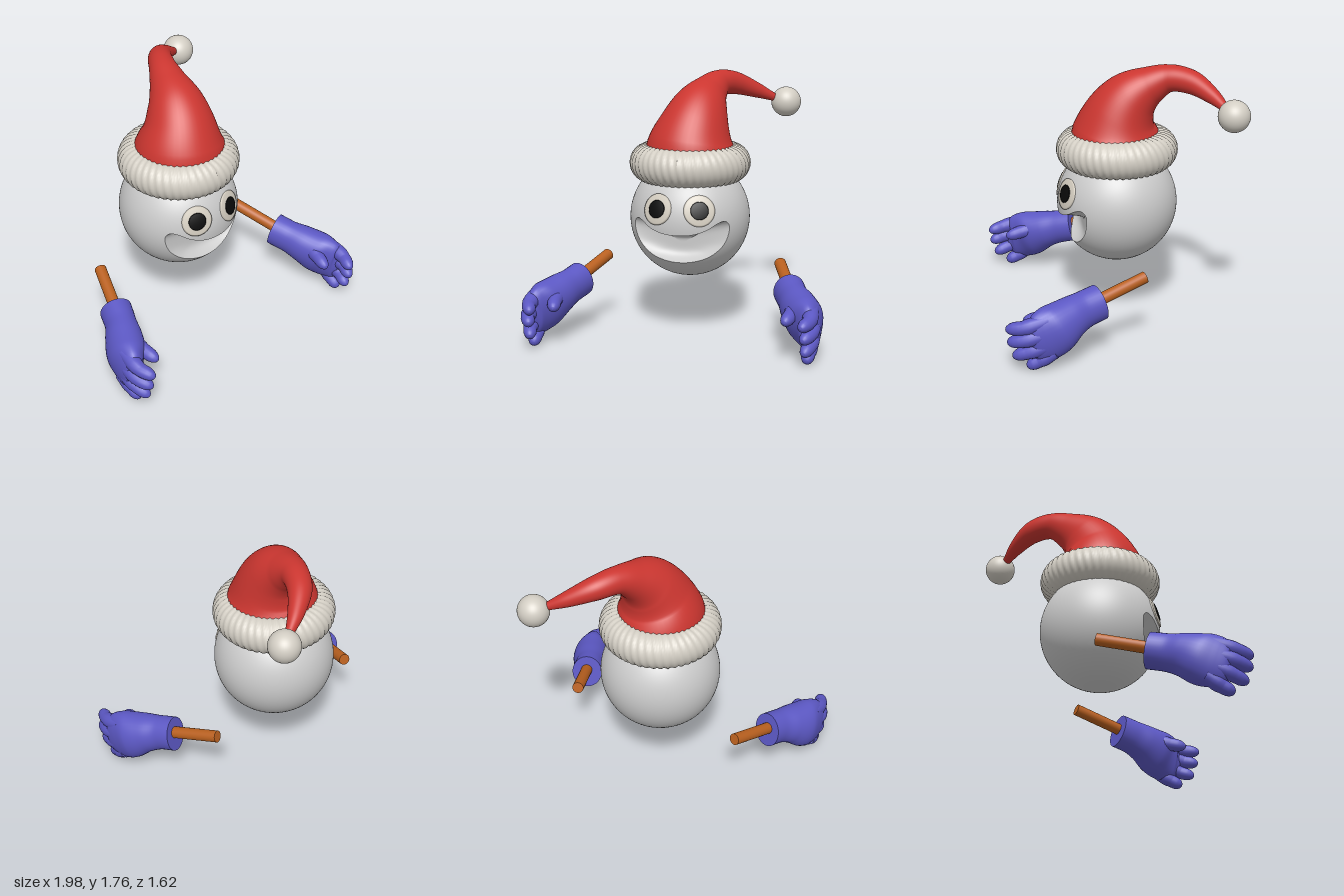
import * as THREE from 'three';
import { mergeVertices } from 'three/addons/utils/BufferGeometryUtils.js';

const V = (x, y, z) => new THREE.Vector3(x, y, z);
const mat = (color) => new THREE.MeshStandardMaterial({ color });
const GREY = mat(0xcccccc), RED = mat(0xcc3630), FUR = mat(0xd3cec4), EYE = mat(0xd6cfc2);
const BLACK = mat(0x0a0a0a), WOOD = mat(0xb9601f), GLOVE = mat(0x5c58c4);

const HEAD = V(0, 0.8, -0.03), R = 0.41;

function add(parent, name, geometry, material) {
  const mesh = new THREE.Mesh(geometry, material);
  mesh.name = name;
  parent.add(mesh);
  return mesh;
}

// Skin over closed rows of points, all with the same count
function skin(rows) {
  const m = rows[0].length, index = [];
  for (let i = 0; i < rows.length - 1; i++) {
    for (let j = 0; j < m; j++) {
      const k = (j + 1) % m, a = i * m;
      index.push(a + j, a + k, a + m + j, a + k, a + m + k, a + m + j);
    }
  }
  const g = new THREE.BufferGeometry().setFromPoints(rows.flat());
  g.setIndex(index);
  g.computeVertexNormals();
  return g;
}

// Loft of ellipses; each section is [x, y, z, half width along ref, other half width]
function loft(sections, n, m, ref) {
  const path = new THREE.CatmullRomCurve3(sections.map((s) => V(s[0], s[1], s[2])));
  const radii = new THREE.CatmullRomCurve3(sections.map((s) => V(s[3], s[4] ?? s[3], 0)));
  const rows = [];
  for (let i = 0; i <= n; i++) {
    const c = path.getPoint(i / n), r = radii.getPoint(i / n), t = path.getTangent(i / n);
    const side = ref.clone().addScaledVector(t, -ref.dot(t)).normalize();
    const up = t.clone().cross(side);
    rows.push(Array.from({ length: m }, (_, j) => {
      const a = (j / m) * Math.PI * 2;
      return c.clone().addScaledVector(side, r.x * Math.cos(a)).addScaledVector(up, r.y * Math.sin(a));
    }));
  }
  // Flat caps with a sharp rim
  const cap = (p) => Array.from({ length: m }, () => p.clone());
  const first = rows[0], last = rows[n];
  return skin([cap(path.getPoint(0)), first, ...rows, last, cap(path.getPoint(1))]);
}

// Ball head whose rings spread from the outline of a smiling mouth
function buildHead() {
  const head = new THREE.Group();
  head.name = 'head';
  const half = [[0.1, 0.55], [0.2, 0.585], [0.28, 0.655], [0.317, 0.735], [0.322, 0.8], [0.3, 0.83],
    [0.265, 0.823], [0.19, 0.778], [0.1, 0.75]];
  const outline = [[0, 0.54], ...half, [0, 0.743], ...half.map(([x, y]) => [-x, y]).reverse()];
  const lip = new THREE.CatmullRomCurve3(outline.map(([x, y]) => V(x, y, 0)), true)
    .getSpacedPoints(128).slice(0, -1);
  lip.forEach((p) => { p.z = HEAD.z + Math.sqrt(R * R - p.x ** 2 - (p.y - HEAD.y) ** 2); });

  const axis = V(0, -0.15, 0.38).normalize();
  const ball = [];
  for (let i = 0; i <= 48; i++) {
    ball.push(lip.map((p) => {
      const d = p.clone().sub(HEAD).normalize();
      const start = axis.angleTo(d), phi = THREE.MathUtils.lerp(Math.PI, start, i / 48);
      const w = d.addScaledVector(axis, -axis.dot(d)).normalize();
      return HEAD.clone().addScaledVector(axis, R * Math.cos(phi)).addScaledVector(w, R * Math.sin(phi));
    }));
  }
  const ballGeometry = mergeVertices(skin(ball).deleteAttribute('normal'), 1e-5);
  ballGeometry.computeVertexNormals();
  add(head, 'headBall', ballGeometry, GREY);

  // Hollow of the mouth
  const hollow = [];
  for (let i = 0; i <= 20; i++) {
    const s = 1 - Math.cos((i / 20) * Math.PI / 2), depth = 1 - (1 - s) ** 4;
    hollow.push(lip.map((p) => V(
      p.x * (1 - s),
      THREE.MathUtils.lerp(p.y, 0.66, s),
      THREE.MathUtils.lerp(p.z, 0.205, depth))));
  }
  add(head, 'mouthHollow', skin(hollow), GREY);

  // Eyes: thin curved discs that follow the ball
  const disc = (angle, radius) => {
    const profile = [new THREE.Vector2((R - 0.01) * Math.sin(angle), (R - 0.01) * Math.cos(angle))];
    for (let i = 10; i >= 0; i--) {
      const a = (angle * i) / 10;
      profile.push(new THREE.Vector2(radius * Math.sin(a), radius * Math.cos(a)));
    }
    return new THREE.LatheGeometry(profile, 40);
  };
  for (const s of [1, -1]) {
    const eye = new THREE.Group();
    eye.name = s > 0 ? 'leftEye' : 'rightEye';
    add(eye, 'eyeball', disc(0.255, R + 0.008), EYE);
    add(eye, 'pupil', disc(0.145, R + 0.012), BLACK);
    eye.position.copy(HEAD);
    eye.quaternion.setFromUnitVectors(V(0, 1, 0), V(s * 0.143, 0.11, 0.368).normalize());
    head.add(eye);
  }
  return head;
}

function buildHat() {
  const hat = new THREE.Group();
  hat.name = 'hat';
  // Drooping cone
  add(hat, 'hatCone', loft([
    [0.01, 1.18, -0.03, 0.34], [0.01, 1.3, -0.03, 0.3], [0.03, 1.43, -0.06, 0.24],
    [0.055, 1.54, -0.13, 0.19], [0.088, 1.625, -0.24, 0.13], [0.135, 1.68, -0.36, 0.092],
    [0.22, 1.67, -0.49, 0.08], [0.36, 1.61, -0.6, 0.053], [0.49, 1.55, -0.67, 0.025], [0.54, 1.53, -0.7, 0.02],
  ], 72, 48, V(0.78, 0, 0.63)), RED);

  // Fur band with slanted ridges
  const rows = [], around = 240, tube = 32;
  for (let i = 0; i <= around; i++) {
    const u = (i / around) * Math.PI * 2;
    rows.push(Array.from({ length: tube }, (_, j) => {
      const v = (j / tube) * Math.PI * 2;
      const r = 0.123 + 0.004 * Math.sin(48 * u + 3 * v);
      const d = 0.287 + r * Math.cos(v);
      return V(d * Math.sin(u), 1.173 + r * 1.02 * Math.sin(v), HEAD.z + d * Math.cos(u));
    }));
  }
  add(hat, 'furBand', skin(rows.reverse()), FUR);
  add(hat, 'pompom', new THREE.SphereGeometry(0.106, 40, 28), FUR).position.set(0.556, 1.522, -0.704);
  return hat;
}

// Stick arm with a gloved hand; s = 1 is the left one
function buildArm(s) {
  const arm = new THREE.Group();
  arm.name = s > 0 ? 'leftArm' : 'rightArm';
  const X = V(1, 0, 0);
  const part = (name, sections, n, m, material) =>
    add(arm, name, loft(sections.map(([x, ...rest]) => [s * x, ...rest]), n, m, X), material);

  part('stick', [[0.615, 0.472, -0.125, 0.04], [0.735, 0.375, 0.21, 0.04]], 1, 20, WOOD);
  part('palm', [
    [0.725, 0.365, 0.19, 0.108, 0.12], [0.765, 0.34, 0.29, 0.105, 0.122], [0.815, 0.308, 0.39, 0.122, 0.14],
    [0.87, 0.262, 0.49, 0.125, 0.172], [0.905, 0.232, 0.57, 0.09, 0.172], [0.92, 0.215, 0.63, 0.065, 0.145],
    [0.92, 0.21, 0.67, 0.02, 0.06],
  ], 36, 32, GLOVE);

  // Finger: base, knuckle, tip, radius
  const finger = (name, a, b, c, r) => {
    const [p, q, t] = [a, b, c].map((k) => V(...k));
    const at = (f, k) => [...q.clone().lerp(t, f).toArray(), r * k];
    part(name, [[...p.toArray(), r], [...q.toArray(), r], at(0.5, 0.94), at(0.78, 0.72), at(0.95, 0.38), at(1, 0.05)],
      24, 16, GLOVE);
  };
  finger('indexFinger', [0.925, 0.345, 0.54], [0.925, 0.305, 0.7], [0.885, 0.285, 0.81], 0.046);
  finger('middleFinger', [0.94, 0.265, 0.54], [0.935, 0.225, 0.7], [0.895, 0.2, 0.8], 0.046);
  finger('ringFinger', [0.94, 0.19, 0.53], [0.93, 0.14, 0.67], [0.9, 0.105, 0.77], 0.045);
  finger('littleFinger', [0.925, 0.13, 0.5], [0.915, 0.07, 0.6], [0.91, 0.03, 0.68], 0.045);
  finger('thumb', [0.82, 0.33, 0.42], [0.79, 0.305, 0.57], [0.765, 0.28, 0.69], 0.047);
  return arm;
}

export function createModel() {
  const model = new THREE.Group();
  model.name = 'snowman';
  model.add(buildHead(), buildHat(), buildArm(1), buildArm(-1));
  return model;
}
